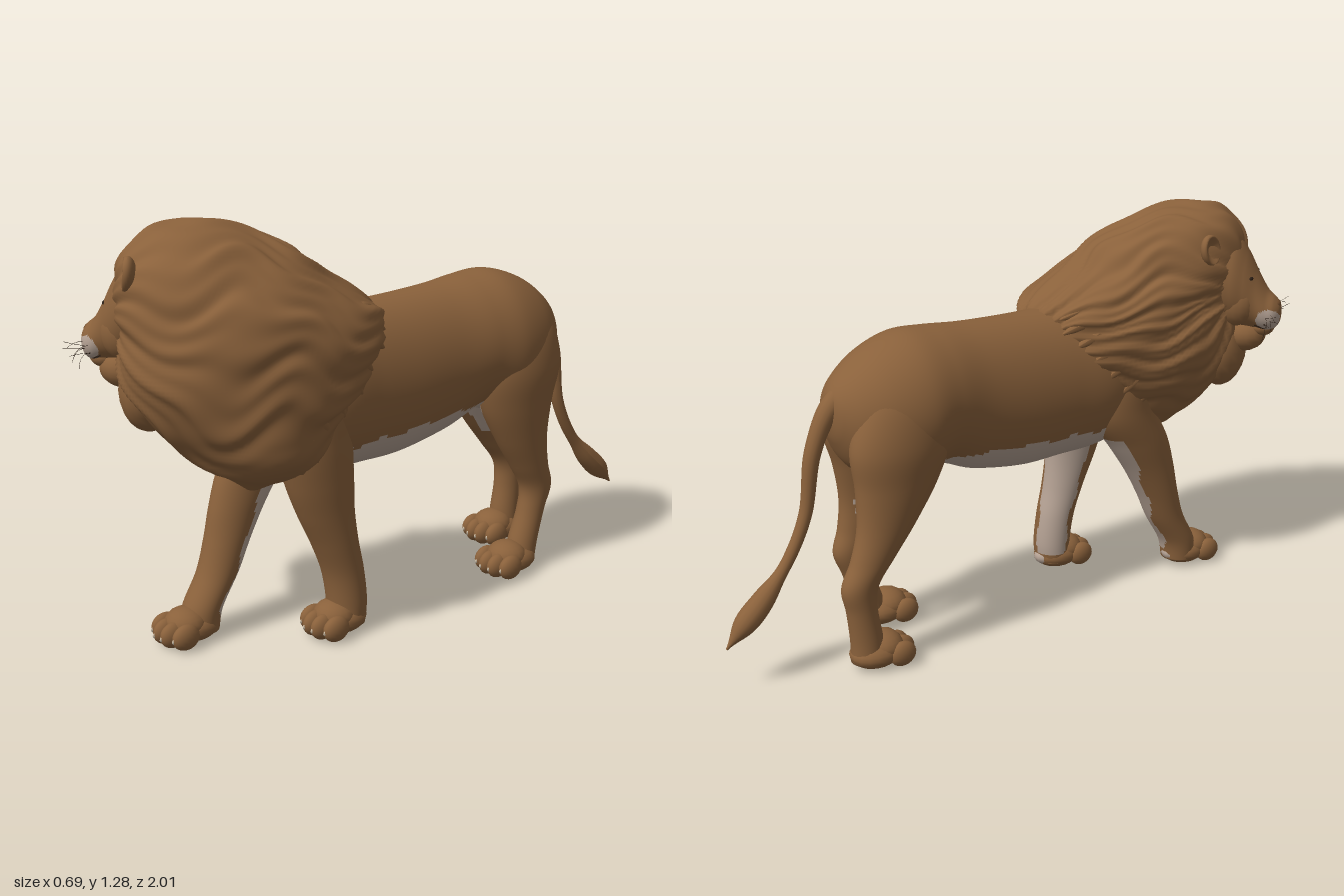
import * as THREE from 'three';

const mat = (name, color) => {
  const m = new THREE.MeshStandardMaterial({ color });
  m.name = name;
  return m;
};

// Smooth interpolation through rows of numbers, t from 0 to 1
function sampleRows(rows, t) {
  const f = t * (rows.length - 1), i = Math.min(Math.floor(f), rows.length - 2), u = f - i;
  const at = k => rows[Math.max(0, Math.min(rows.length - 1, k))];
  return rows[0].map((_, c) => {
    const [a, b, d, e] = [at(i - 1)[c], at(i)[c], at(i + 1)[c], at(i + 2)[c]];
    return b + 0.5 * u * (d - a + u * (2 * a - 5 * b + 4 * d - e + u * (3 * (b - d) + e - a)));
  });
}

// Point on an elliptical section: axis z rows are [z,x,y,rx,ry], axis y rows are [y,x,z,rx,rz]
function sectionPoint(axis, rows, t, angle) {
  const [h, a, b, ra, rb] = sampleRows(rows, t), c = Math.cos(angle), s = Math.sin(angle);
  const A = Math.max(ra, 0.001), B = Math.max(rb, 0.001);
  return axis === 'z' ? new THREE.Vector3(a + A * c, b + B * s, h) : new THREE.Vector3(a + A * s, h, b + B * c);
}

// Closed skin over the sections; isPale picks the second material for each quad
function loft(axis, rows, { rings, sides, isPale = () => false, warp = p => p }) {
  const pos = [], parts = [[], []], pts = [];
  for (let i = 0; i <= rings; i++)
    for (let j = 0; j < sides; j++) pts.push(warp(sectionPoint(axis, rows, i / rings, j / sides * Math.PI * 2)));
  for (const end of [0, 1]) {
    const [h, a, b] = sampleRows(rows, end);
    pts.push(warp(axis === 'z' ? new THREE.Vector3(a, b, h) : new THREE.Vector3(a, h, b)));
  }
  pts.forEach(p => pos.push(p.x, p.y, p.z));
  const first = (rings + 1) * sides, last = rings * sides;
  for (let j = 0; j < sides; j++) {
    const k = (j + 1) % sides;
    for (let i = 0; i < rings; i++) {
      const a = i * sides + j, b = i * sides + k, c = b + sides, d = a + sides;
      const mid = pts[a].clone().add(pts[c]).multiplyScalar(0.5);
      parts[isPale(mid) ? 1 : 0].push(a, b, c, a, c, d);
    }
    parts[0].push(first, k, j, first + 1, last + j, last + k);
  }
  const g = new THREE.BufferGeometry();
  g.setAttribute('position', new THREE.Float32BufferAttribute(pos, 3));
  g.setIndex([...parts[0], ...parts[1]]);
  g.addGroup(0, parts[0].length, 0);
  g.addGroup(parts[0].length, parts[1].length, 1);
  g.computeVertexNormals();
  return g;
}

export function createModel() {
  const fur = mat('brown fur', 0x8a613b), pale = mat('pale fur', 0xb5a294);
  const dark = mat('dark brown', 0x2b1e15), nose = mat('nose brown', 0x75502f), claw = mat('claw', 0xcdbda6);
  const model = new THREE.Group();
  model.name = 'lion';
  const add = (parent, name, geo, material, p = [0, 0, 0], s = [1, 1, 1]) => {
    const m = new THREE.Mesh(geo, material);
    m.name = name;
    m.position.set(...p);
    m.scale.set(...s);
    parent.add(m);
    return m;
  };
  const ball = new THREE.SphereGeometry(1, 18, 12), bead = new THREE.SphereGeometry(1, 8, 6);
  const midX = 0.08;

  // Trunk with pale belly
  const trunk = [
    [-0.625, midX, 0.79, 0.02, 0.03], [-0.61, midX, 0.785, 0.07, 0.08], [-0.565, midX, 0.77, 0.13, 0.145],
    [-0.48, midX, 0.765, 0.18, 0.207], [-0.37, midX, 0.775, 0.203, 0.233], [-0.26, midX, 0.785, 0.188, 0.22],
    [-0.13, midX, 0.755, 0.174, 0.238], [0.05, midX, 0.735, 0.175, 0.25], [0.2, midX, 0.735, 0.178, 0.25],
    [0.35, midX, 0.74, 0.185, 0.25], [0.5, midX, 0.75, 0.16, 0.22], [0.62, midX, 0.75, 0.1, 0.15]];
  add(model, 'body', loft('z', trunk, {
    rings: 100, sides: 100, isPale: p => p.y < 0.6 - 0.05 * p.z + 0.005 * Math.sin(p.z * 40) && p.z < 0.4 && p.z > -0.5,
  }), [fur, pale]);

  // Legs for the left side; the right ones are mirrored and stride differently
  const frontLeg = [
    [0.03, 0.2, 0.315, 0.06, 0.058], [0.1, 0.2, 0.312, 0.063, 0.062], [0.2, 0.198, 0.325, 0.063, 0.066],
    [0.3, 0.198, 0.355, 0.065, 0.076], [0.4, 0.197, 0.385, 0.068, 0.095], [0.5, 0.195, 0.405, 0.074, 0.115],
    [0.62, 0.185, 0.42, 0.085, 0.13], [0.75, 0.18, 0.42, 0.08, 0.12], [0.85, 0.17, 0.42, 0.04, 0.06]];
  const hindLeg = [
    [0.03, 0.2, -0.425, 0.05, 0.052], [0.1, 0.2, -0.44, 0.047, 0.052], [0.2, 0.2, -0.473, 0.043, 0.05],
    [0.28, 0.2, -0.492, 0.046, 0.061], [0.36, 0.2, -0.46, 0.053, 0.073], [0.46, 0.197, -0.425, 0.066, 0.1],
    [0.58, 0.19, -0.405, 0.086, 0.14], [0.7, 0.185, -0.41, 0.1, 0.168], [0.82, 0.175, -0.42, 0.086, 0.14],
    [0.92, 0.15, -0.42, 0.05, 0.08]];

  function paw(name, x, z, isFront) {
    const g = new THREE.Group();
    g.name = name;
    g.position.set(x, 0, z);
    model.add(g);
    add(g, 'foot', ball, fur, [0, 0.048, 0], [0.07, 0.046, 0.085]);
    add(g, 'instep', ball, fur, [0, 0.062, 0.025], [0.066, 0.05, 0.066]);
    if (isFront) add(g, 'heelPatch', ball, pale, [0, 0.048, -0.032], [0.045, 0.034, 0.058]);
    for (const k of [-1.5, -0.5, 0.5, 1.5]) {
      const tz = 0.08 - (Math.abs(k) > 1 ? 0.018 : 0);
      add(g, 'toe', ball, fur, [k * 0.038, 0.045, tz], [0.0255, 0.04, 0.046]);
      add(g, 'claw', bead, claw, [k * 0.038, 0.042, tz + 0.042], [0.004, 0.008, 0.008]);
    }
  }

  for (const side of [1, -1]) {
    const label = side > 0 ? 'left' : 'right', far = side < 0 ? 1 : 0;
    const place = (rows, shift) => rows.map(([y, x, z, rx, rz]) =>
      [y, midX + side * (x - midX), z + far * shift(y), rx, rz]);
    const front = place(frontLeg, y => Math.max(0, Math.min(0.37, 0.43 * (1 - y / 0.62))));
    const hind = place(hindLeg, y => -0.17 * Math.max(0, 1 - y / 0.85));
    const legX = midX + side * 0.12;
    const centreZ = y => {
      const i = front.findIndex(r => r[0] > y), [a, b] = [front[i - 1], front[i]];
      return a[2] + (b[2] - a[2]) * (y - a[0]) / (b[0] - a[0]);
    };
    // Pale fur on the inner and rear faces
    const inward = far ? 0.45 : 0.75, rear = far ? 0.9 : 0.65;
    add(model, label + 'FrontLeg', loft('y', front, {
      rings: 80, sides: 56,
      isPale: p => p.y > 0.07 && p.y < 0.54 &&
        (legX - p.x) * side * inward + (centreZ(p.y) - p.z) * rear > (far ? 0.05 : 0.04) + 0.006 * Math.sin(p.y * 40),
    }), [fur, pale]);
    add(model, label + 'HindLeg', loft('y', hind, {
      rings: 60, sides: 48,
      isPale: p => p.y > 0.43 && p.y < 0.6 && p.z > -0.5 && (legX - p.x) * side > 0.035,
    }), [fur, pale]);
    paw(label + 'FrontPaw', legX, far ? 0.71 : 0.335, true);
    paw(label + 'HindPaw', legX, far ? -0.56 : -0.392, false);
  }

  // Tail with tuft: a tube whose rings are rescaled along its length
  const tailPath = new THREE.CatmullRomCurve3([[-0.54, 0.87], [-0.62, 0.81], [-0.68, 0.69], [-0.715, 0.5],
    [-0.78, 0.37], [-0.87, 0.265], [-0.94, 0.2], [-0.998, 0.142]].map(([z, y]) => new THREE.Vector3(midX, y, z)));
  const tail = new THREE.TubeGeometry(tailPath, 60, 1, 14);
  const tp = tail.attributes.position, v = new THREE.Vector3();
  const tailR = [[0.04], [0.034], [0.028], [0.025], [0.022], [0.02], [0.019], [0.02], [0.034], [0.034], [0.003]];
  for (let i = 0; i < tp.count; i++) {
    const t = Math.floor(i / 15) / 60, c = tailPath.getPointAt(t);
    v.fromBufferAttribute(tp, i).sub(c).multiplyScalar(Math.max(0.001, sampleRows(tailR, t)[0])).add(c);
    tp.setXYZ(i, v.x, v.y, v.z);
  }
  tail.computeVertexNormals();
  add(model, 'tail', tail, fur);

  // Mane: wide sections with wavy strands that sweep from the face back to the shoulders
  const mane = [
    [0.475, 0.08, 0.56, 0.02, 0.02], [0.53, 0.09, 0.545, 0.11, 0.105], [0.6, 0.1, 0.57, 0.2, 0.185],
    [0.68, 0.085, 0.575, 0.235, 0.26], [0.76, 0.07, 0.555, 0.262, 0.33], [0.84, 0.063, 0.543, 0.27, 0.38],
    [0.92, 0.065, 0.535, 0.27, 0.395], [0.98, 0.06, 0.535, 0.262, 0.39], [1.04, 0.05, 0.57, 0.25, 0.355],
    [1.1, 0.035, 0.615, 0.225, 0.305], [1.17, 0.015, 0.64, 0.185, 0.26], [1.23, 0, 0.67, 0.14, 0.175],
    [1.265, -0.01, 0.69, 0.075, 0.1], [1.275, -0.01, 0.69, 0.01, 0.01]];
  const root = new THREE.Vector3(-0.2, 1, 0.85), sweep = new THREE.Vector3(0.32, -0.15, -0.85).normalize();
  const across = new THREE.Vector3().crossVectors(sweep, new THREE.Vector3(0, 1, 0)).normalize();
  const over = new THREE.Vector3().crossVectors(across, sweep), core = new THREE.Vector3(0.07, 0.87, 0.55);
  const strands = p => {
    p.x += 0.1 * (0.53 - p.z);
    const q = p.clone().sub(root), s = q.dot(sweep), phi = Math.atan2(q.dot(over), q.dot(across));
    const bend = 1.6 * Math.sin(s * 11 + 2 * phi) + 0.9 * Math.sin(s * 23 - 3 * phi);
    const wave = 0.005 * Math.sin(13 * phi + bend) + 0.0035 * Math.sin(29 * phi + 2 * bend + 4 * s)
      + 0.003 * Math.sin(5 * phi - 17 * s);
    return p.addScaledVector(p.clone().sub(core).normalize(), wave);
  };
  add(model, 'mane', loft('y', mane, { rings: 90, sides: 150, warp: strands }), fur);

  // Pointed locks along the rear rim of the mane
  const lockGeo = new THREE.SphereGeometry(1, 12, 12);
  const lp = lockGeo.attributes.position;
  for (let i = 0; i < lp.count; i++) {
    const w = 1 - 0.35 * (lp.getY(i) + 1);
    lp.setXYZ(i, lp.getX(i) * w, lp.getY(i), lp.getZ(i) * w);
  }
  lockGeo.computeVertexNormals();
  const up = new THREE.Vector3(0, 1, 0);
  for (const side of [1, -1]) for (let i = 0; i < 9; i++) {
    const p = strands(sectionPoint('y', mane, 0.12 + i * 0.055, side * (1.9 + 0.09 * i))).lerp(core, 0.07);
    const lock = add(model, 'maneLock', lockGeo, fur, p.toArray(), [0.03, 0.07, 0.03]);
    lock.quaternion.setFromUnitVectors(up, new THREE.Vector3(-side * 0.25, -0.75 + 0.06 * i, -0.35 - 0.05 * i).normalize());
  }

  // Head, turned towards the right
  const head = new THREE.Group();
  head.name = 'head';
  head.position.set(-0.09, 0, 0.77);
  head.rotation.y = -0.95;
  model.add(head);
  const skull = [
    [-0.1, 0, 1.04, 0.1, 0.13], [0, 0, 1.045, 0.13, 0.16], [0.06, 0, 1.025, 0.125, 0.15], [0.1, 0, 0.995, 0.105, 0.125],
    [0.135, 0, 0.96, 0.085, 0.094], [0.168, 0, 0.93, 0.074, 0.069], [0.195, 0, 0.922, 0.06, 0.053],
    [0.212, 0, 0.922, 0.032, 0.03], [0.215, 0, 0.922, 0.005, 0.005]];
  add(head, 'face', loft('z', skull, {
    rings: 100, sides: 64,
    isPale: p => Math.abs(p.x) > 0.014 && ((p.z - 0.18) / 0.036) ** 2 + ((p.y - 0.91) / 0.037) ** 2 < 1,
  }), [fur, pale]);
  add(head, 'chin', ball, fur, [0, 0.876, 0.152], [0.05, 0.034, 0.046]);
  add(head, 'beard', ball, fur, [0, 0.845, 0.09], [0.07, 0.06, 0.08]);
  add(head, 'throatHair', ball, fur, [0, 0.79, 0.02], [0.12, 0.13, 0.085]);
  add(head, 'nose', ball, nose, [0, 0.952, 0.194], [0.03, 0.018, 0.02]);

  // Cupped ear: a squashed ball with its front pushed in
  const earGeo = new THREE.SphereGeometry(1, 28, 20);
  const ep = earGeo.attributes.position;
  for (let i = 0; i < ep.count; i++) {
    const r2 = ep.getX(i) ** 2 + ep.getY(i) ** 2;
    if (ep.getZ(i) > 0) ep.setZ(i, ep.getZ(i) - 1.3 * Math.max(0, 1 - r2 * 1.25));
  }
  earGeo.computeVertexNormals();

  for (const s of [1, -1]) {
    const ear = add(head, 'ear', earGeo, fur, [s * 0.165, 1.155, 0.005], [0.044, 0.053, 0.026]);
    ear.rotation.set(-0.1, s * 0.35, -s * 0.4);
    add(head, 'eye', ball, dark, [s * 0.06, 1.046, 0.119], [0.014, 0.007, 0.009]);
    add(head, 'cheek', ball, fur, [s * 0.057, 0.965, 0.075], [0.055, 0.08, 0.065]);
    // Mouth line, whisker spots and whiskers
    const lip = new THREE.CatmullRomCurve3([[0, 0.888, 0.198], [0.028, 0.877, 0.188], [0.052, 0.881, 0.164],
      [0.062, 0.892, 0.14]].map(([x, y, z]) => new THREE.Vector3(s * x, y, z)));
    add(head, 'mouthLine', new THREE.TubeGeometry(lip, 16, 0.0025, 5), dark);
    for (let i = 0; i < 7; i++) {
      const y = 0.897 + (i % 4) * 0.011, z = 0.172 + (i % 2) * 0.015, x = 0.067 - (i % 2) * 0.007;
      add(head, 'whiskerSpot', bead, dark, [s * x, y, z], [0.0025, 0.0025, 0.0025]);
      const hair = new THREE.QuadraticBezierCurve3(new THREE.Vector3(s * x, y, z),
        new THREE.Vector3(s * (x + 0.035), y + 0.008, z + 0.015),
        new THREE.Vector3(s * (x + 0.065), y - 0.035 + 0.01 * i, z + 0.005 + 0.007 * i));
      add(head, 'whisker', new THREE.TubeGeometry(hair, 8, 0.0006, 4), dark);
    }
  }
  return model;
}
